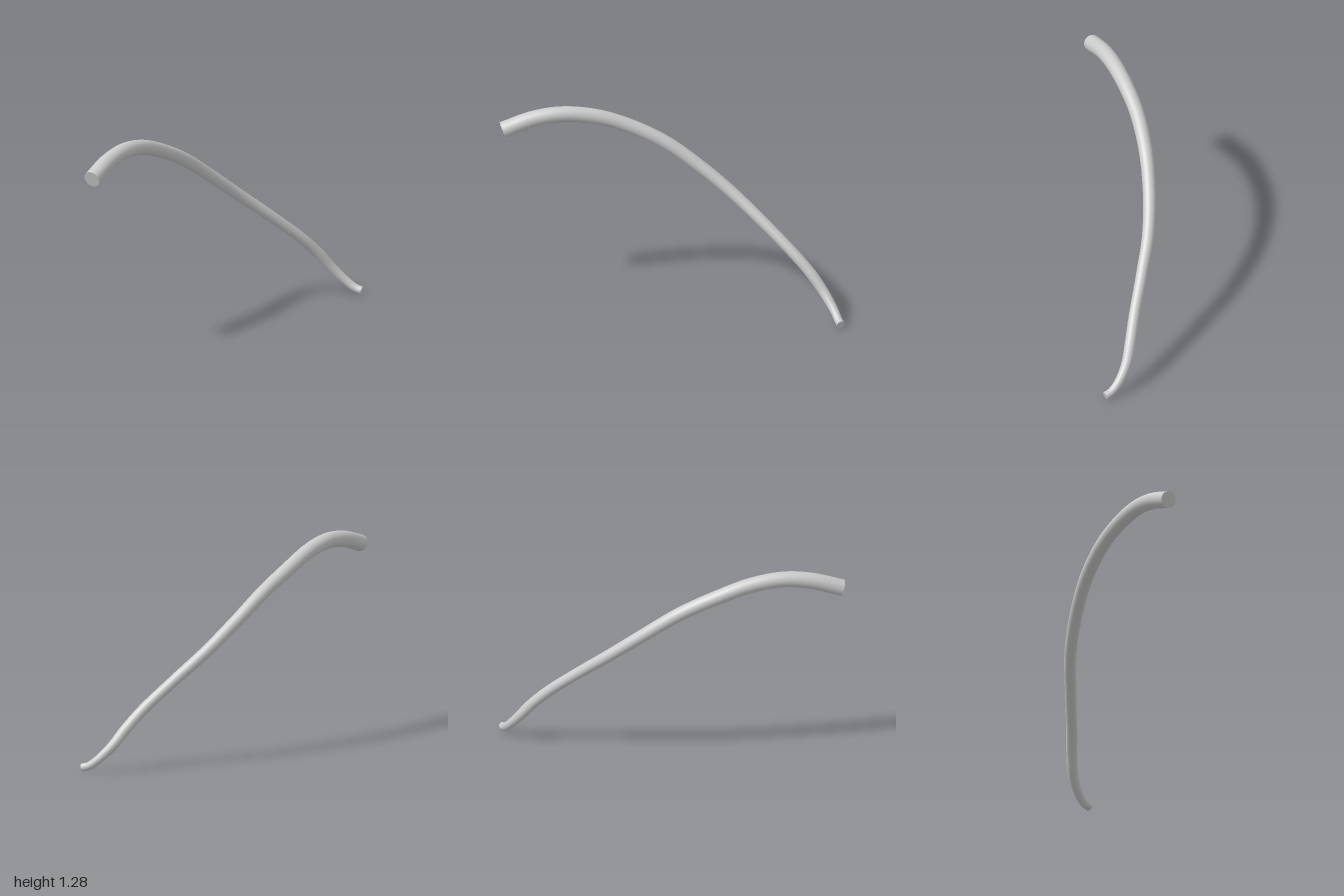
import * as THREE from 'three';

const material = new THREE.MeshStandardMaterial({ color: 0xcccccc });

// Centre line, from the thick upper end to the thin lower tip
const path = new THREE.CatmullRomCurve3([
  [-0.965, 1.157, 0.444], [-0.83, 1.218, 0.315], [-0.7, 1.24, 0.198], [-0.55, 1.214, 0.062],
  [-0.4, 1.147, -0.067], [-0.2, 1.03, -0.2], [0, 0.875, -0.3], [0.2, 0.715, -0.368],
  [0.4, 0.56, -0.402], [0.6, 0.397, -0.43], [0.72, 0.28, -0.45], [0.81, 0.175, -0.457],
  [0.9, 0.085, -0.436], [0.95, 0.045, -0.408], [0.982, 0.034, -0.385],
].map((p) => new THREE.Vector3(...p)));

// Radius along the length: gentle taper, then a narrower tip
function radiusAt(t) {
  const body = THREE.MathUtils.lerp(0.052, 0.034, Math.min(1, t / 0.75));
  return THREE.MathUtils.lerp(body, 0.025, THREE.MathUtils.smoothstep(t, 0.86, 1));
}

// Tube of unit radius, each ring scaled about its own centre
function taperedTube(segments, sides) {
  const geometry = new THREE.TubeGeometry(path, segments, 1, sides);
  const pos = geometry.attributes.position;
  const v = new THREE.Vector3();
  for (let i = 0; i < pos.count; i++) {
    const t = Math.floor(i / (sides + 1)) / segments;
    const centre = path.getPointAt(t);
    v.fromBufferAttribute(pos, i).sub(centre).multiplyScalar(radiusAt(t)).add(centre);
    pos.setXYZ(i, v.x, v.y, v.z);
  }
  return geometry;
}

// Flat disc closing one end, facing outward
function endCap(name, t, direction) {
  const cap = new THREE.Mesh(new THREE.CircleGeometry(radiusAt(t), 24), material);
  cap.name = name;
  const outward = path.getTangentAt(t).multiplyScalar(direction);
  cap.quaternion.setFromUnitVectors(new THREE.Vector3(0, 0, 1), outward);
  cap.position.copy(path.getPointAt(t));
  return cap;
}

export function createModel() {
  const model = new THREE.Group();
  model.name = 'curvedRod';
  const rod = new THREE.Mesh(taperedTube(120, 24), material);
  rod.name = 'rod';
  model.add(rod, endCap('upperEndCap', 0, -1), endCap('lowerTipCap', 1, 1));
  return model;
}
